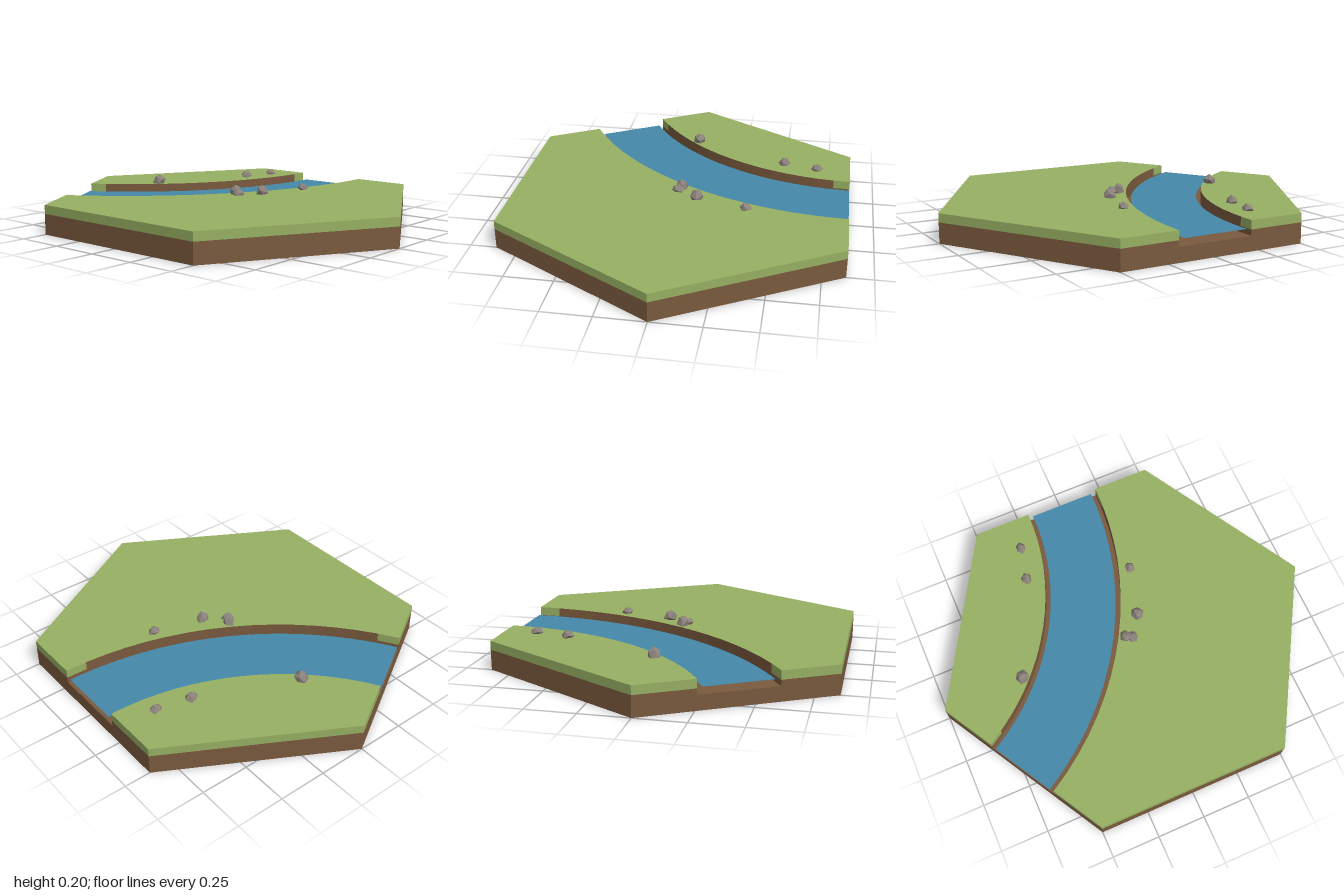
import * as THREE from 'three';

const BED = 0.075, SOIL = 0.105, TOP = 0.15;   // heights of river bed, soil line, lawn
const CX = 0.866, CZ = -1.5;                   // centre of the river bend
const SEGMENTS = 16;

const material = (name, color, extra = {}) => {
  const m = new THREE.MeshStandardMaterial({ color, ...extra });
  m.name = name;
  return m;
};

// Points [x, z] along one river bank
function bankArc(radius) {
  return Array.from({ length: SEGMENTS + 1 }, (_, i) => {
    const a = (i / SEGMENTS) * Math.PI / 3;
    return [CX - radius * Math.sin(a), CZ + radius * Math.cos(a)];
  });
}

// Vertical wall along a list of [p, q] edges, facing right of travel
function wallGeometry(edges, y0, y1) {
  const pos = [];
  for (const [[ax, az], [bx, bz]] of edges) {
    pos.push(ax, y0, az, bx, y0, bz, bx, y1, bz);
    pos.push(ax, y0, az, bx, y1, bz, ax, y1, az);
  }
  const g = new THREE.BufferGeometry();
  g.setAttribute('position', new THREE.Float32BufferAttribute(pos, 3));
  g.computeVertexNormals();
  return g;
}

// Faceted stone: a jittered icosahedron with a flat foot
function rockGeometry(sx, height, sz, seed) {
  const g = new THREE.IcosahedronGeometry(1, 0);
  g.rotateY(seed * 1.3);
  g.rotateX(seed * 0.7);
  const p = g.attributes.position;
  const hash = (x, y, z) => {
    const s = Math.sin(Math.round(x * 50) * 12.99 + Math.round(y * 50) * 78.23 + Math.round(z * 50) * 37.72 + seed) * 437.58;
    return s - Math.floor(s);
  };
  for (let i = 0; i < p.count; i++) {
    const x = p.getX(i), y = p.getY(i), z = p.getZ(i);
    const k = 0.88 + 0.28 * hash(x, y, z);
    const taper = 1 - 0.22 * Math.max(y, 0);
    p.setXYZ(i, x * k * taper * sx, Math.max(0, (y + 0.35) / 1.3) * height, z * k * taper * sz);
  }
  g.computeVertexNormals();
  return g;
}

export function createModel() {
  const group = new THREE.Group();
  const grass = material('grass green', 0x97b063);
  const soil = material('soil brown', 0x7a5a3e, { flatShading: true });
  const water = material('water blue', 0x4488a9, { side: THREE.DoubleSide });
  const stone = material('stone grey', 0x8b827a, { flatShading: true });

  const add = (name, geometry, mat, parent = group) => {
    const mesh = new THREE.Mesh(geometry, mat);
    mesh.name = name;
    parent.add(mesh);
    return mesh;
  };

  // Hexagonal base, whose top is the river bed
  add('base', new THREE.CylinderGeometry(1, 1, BED, 6), soil).position.y = BED / 2;

  // Two raised lawns, one on each side of the river
  const lawns = [
    ['frontLawn', bankArc(1.7), [[-CX, -0.5], [-CX, 0.5], [0, 1], [CX, 0.5]]],
    ['backLawn', bankArc(1.3).reverse(), [[CX, -0.5], [0, -1]]],
  ];
  for (const [name, arc, corners] of lawns) {
    const lawn = new THREE.Group();
    lawn.name = name;
    group.add(lawn);

    const outline = [...arc, ...corners];
    const shape = new THREE.Shape(outline.map(([x, z]) => new THREE.Vector2(x, -z)));
    add('lawnTop', new THREE.ShapeGeometry(shape).rotateX(-Math.PI / 2), grass, lawn).position.y = TOP;

    // Bank is bare soil except for its first and last segments
    const edges = outline.map((p, i) => [p, outline[(i + 1) % outline.length]]);
    const bare = edges.slice(1, SEGMENTS - 1);
    const turfed = [edges[0], ...edges.slice(SEGMENTS - 1)];
    add('soilWall', wallGeometry(edges, BED, SOIL), soil, lawn);
    add('turfEdge', wallGeometry(turfed, SOIL, TOP), grass, lawn);
    add('bareBank', wallGeometry(bare, SOIL, TOP), soil, lawn);
  }

  // River surface
  const river = new THREE.RingGeometry(1.325, 1.672, 32, 1, Math.PI * 7 / 6, Math.PI / 3);
  add('river', river.rotateX(-Math.PI / 2), water).position.set(CX, 0.111, CZ);

  // Stones: x, z, half width, height, half depth
  const stones = [
    [0.005, -0.572, 0.036, 0.05, 0.034],
    [0.51, -0.352, 0.034, 0.043, 0.03],
    [0.688, -0.312, 0.035, 0.036, 0.025],
    [-0.005, 0.005, 0.034, 0.052, 0.032],
    [-0.022, 0.036, 0.035, 0.035, 0.031],
    [0.088, 0.109, 0.041, 0.052, 0.035],
    [0.348, 0.182, 0.031, 0.035, 0.026],
  ];
  stones.forEach(([x, z, sx, h, sz], i) => {
    add('stone', rockGeometry(sx, h, sz, i + 1), stone).position.set(x, TOP - 0.001, z);
  });

  return group;
}
